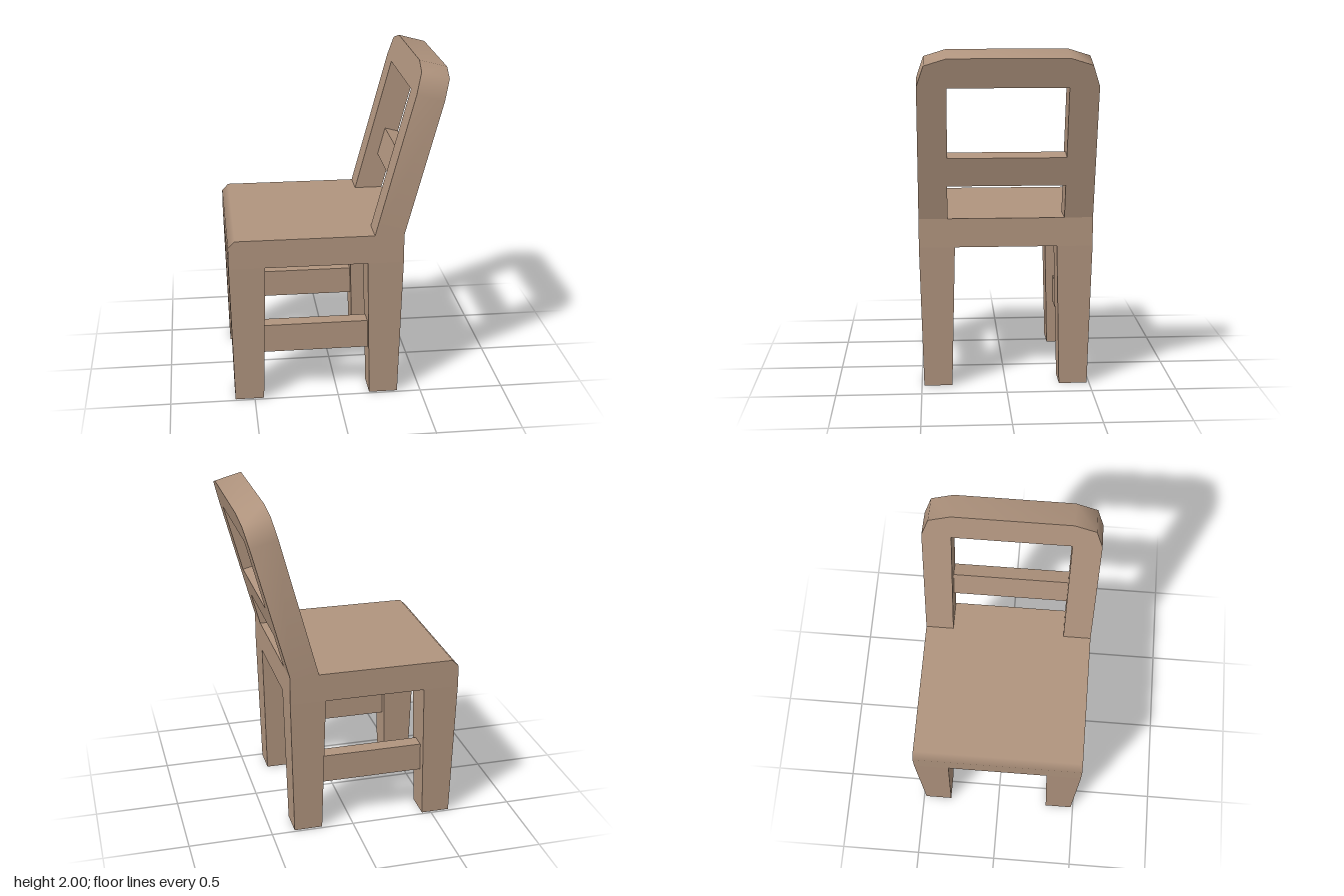
import * as THREE from 'three';
import { toCreasedNormals } from 'three/addons/utils/BufferGeometryUtils.js';

const wood = new THREE.MeshStandardMaterial({ color: 0xb0947e });
wood.name = 'wood';

const HALF = 0.507; // half width of the chair
const TILT = THREE.MathUtils.degToRad(15);
const toPoints = (list) => list.map(([x, y]) => new THREE.Vector2(x, y));

function add(parent, name, geometry) {
  const mesh = new THREE.Mesh(geometry, wood);
  mesh.name = name;
  parent.add(mesh);
  return mesh;
}

// Box given by its limits on each axis
function block([x0, x1], [y0, y1], [z0, z1]) {
  return new THREE.BoxGeometry(x1 - x0, y1 - y0, z1 - z0)
    .translate((x0 + x1) / 2, (y0 + y1) / 2, (z0 + z1) / 2);
}

// Seat slab with a softened front edge
function seatGeometry() {
  const profile = new THREE.Shape(toPoints([
    [-0.635, 0.85], [0.38, 0.85], [0.38, 1.02], [-0.595, 1.02], [-0.635, 0.98],
  ]));
  const geo = new THREE.ExtrudeGeometry(profile, { depth: HALF * 2, bevelEnabled: false })
    .translate(0, 0, -HALF);
  const pos = geo.attributes.position, normal = geo.attributes.normal;
  for (let i = 0; i < pos.count; i++) {
    if (normal.getX(i) < -0.5 && normal.getY(i) > 0.5) {
      if (pos.getY(i) > 1) normal.setXYZ(i, 0, 1, 0);
      else normal.setXYZ(i, -1, 0, 0);
    }
  }
  return geo;
}

// Leg narrowing evenly by 0.02 on every side towards the floor
function legGeometry(xRange, zRange) {
  const geo = block(xRange, [0, 0.85], zRange);
  const cx = (xRange[0] + xRange[1]) / 2, cz = (zRange[0] + zRange[1]) / 2;
  const pos = geo.attributes.position;
  for (let i = 0; i < pos.count; i++) {
    if (pos.getY(i) > 0.1) continue;
    pos.setX(i, pos.getX(i) - 0.02 * Math.sign(pos.getX(i) - cx));
    pos.setZ(i, pos.getZ(i) - 0.021 * Math.sign(pos.getZ(i) - cz));
  }
  const flat = geo.toNonIndexed();
  flat.computeVertexNormals();
  return flat;
}

// Backrest frame: an upside-down U with clipped outer corners
function frameGeometry() {
  const half = [[0.34, -0.05], [HALF, -0.05], [HALF, 0.81], [0.467, 0.932], [0.34, 0.973]];
  const mirrored = half.map(([x, y]) => [-x, y]).reverse();
  const outline = new THREE.Shape(toPoints([
    ...half, ...mirrored, [-0.34, 0.802], [0.34, 0.802],
  ]));
  const geo = new THREE.ExtrudeGeometry(outline, { depth: 0.165, bevelEnabled: false })
    .rotateY(-Math.PI / 2);
  return toCreasedNormals(geo, THREE.MathUtils.degToRad(60));
}

export function createModel() {
  const chair = new THREE.Group();
  chair.name = 'chair';

  add(chair, 'seat', seatGeometry());

  // Legs and side stretchers
  for (const [side, s] of [['Left', 1], ['Right', -1]]) {
    const zRange = s > 0 ? [0.298, HALF] : [-HALF, -0.298];
    add(chair, 'frontLeg' + side, legGeometry([-0.635, -0.425], zRange));
    add(chair, 'backLeg' + side, legGeometry([0.17, 0.38], zRange));
    add(chair, 'stretcher' + side,
      block([-0.45, 0.2], [0.285, 0.457], [s * 0.4 - 0.045, s * 0.4 + 0.045]));
  }

  // Leaning backrest, hinged at the rear top edge of the seat
  const backrest = new THREE.Group();
  backrest.name = 'backrest';
  backrest.position.set(0.38, 1.02, 0);
  backrest.rotation.z = -TILT;
  add(backrest, 'backFrame', frameGeometry());
  add(backrest, 'backSlat', block([-0.085, 0], [0.207, 0.381], [-0.34, 0.34]));
  chair.add(backrest);

  return chair;
}
